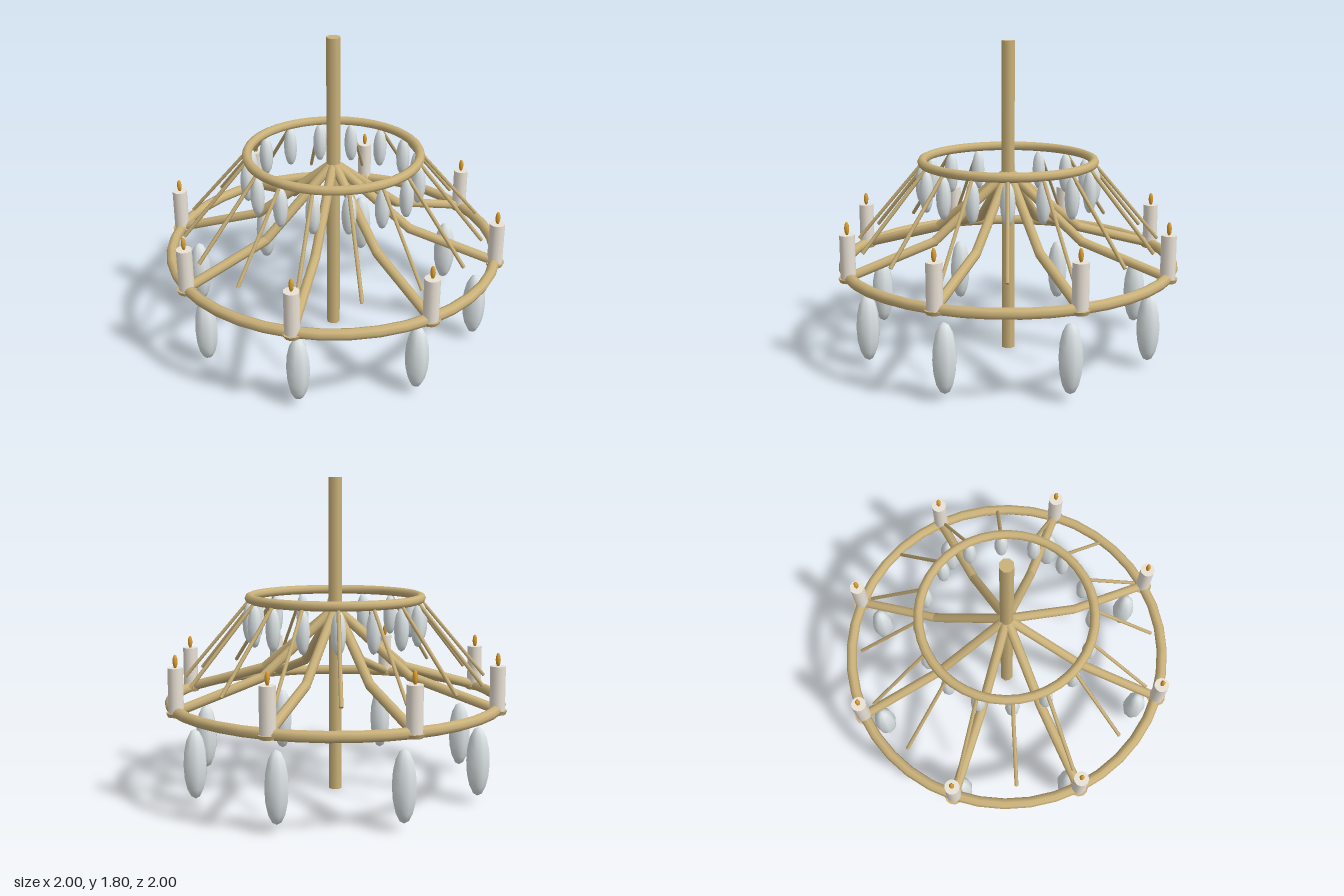
import * as THREE from 'three';

const brass = new THREE.MeshStandardMaterial({ color: 0xcbb27a });
const wax = new THREE.MeshStandardMaterial({ color: 0xeae2d6 });
const glass = new THREE.MeshStandardMaterial({ color: 0xdde4e6 });
const fire = new THREE.MeshStandardMaterial({ color: 0xe0a030 });

function add(parent, name, geometry, material, x = 0, y = 0, z = 0) {
  const mesh = new THREE.Mesh(geometry, material);
  mesh.name = name;
  mesh.position.set(x, y, z);
  parent.add(mesh);
  return mesh;
}

// Straight bar between two [radius, height] points in the x-y plane
function bar(parent, name, a, b, radius, sides) {
  const from = new THREE.Vector3(a[0], a[1], 0);
  const dir = new THREE.Vector3(b[0], b[1], 0).sub(from);
  const mesh = add(parent, name, new THREE.CylinderGeometry(radius, radius, dir.length(), sides), brass);
  mesh.position.copy(from).addScaledVector(dir, 0.5);
  mesh.quaternion.setFromUnitVectors(new THREE.Vector3(0, 1, 0), dir.normalize());
}

// Faceted, elongated pendant
function pendant(parent, name, x, y, radius, halfHeight) {
  add(parent, name, new THREE.SphereGeometry(1, 8, 8), glass, x, y).scale.set(radius, halfHeight, radius);
}

function ring(parent, name, radius, tube, y) {
  add(parent, name, new THREE.TorusGeometry(radius, tube, 8, 40).rotateX(Math.PI / 2), brass, 0, y);
}

export function createModel() {
  const model = new THREE.Group();
  model.name = 'chandelier';

  add(model, 'centralPole', new THREE.CylinderGeometry(0.04, 0.04, 1.8, 8), brass, 0, 0.9);
  ring(model, 'outerRing', 0.945, 0.031, 0.537);
  ring(model, 'upperRing', 0.49, 0.027, 1.123);

  // Eight arms, each with a candle and a large pendant
  for (let i = 0; i < 8; i++) {
    const arm = new THREE.Group();
    arm.name = 'arm';
    arm.rotation.y = (i * Math.PI) / 4;
    model.add(arm);
    const knee = [0.45, 0.69];
    bar(arm, 'upperArm', [0, 1.06], knee, 0.028, 8);
    bar(arm, 'lowerArm', knee, [0.94, 0.54], 0.028, 8);
    add(arm, 'armJoint', new THREE.SphereGeometry(0.028, 8, 6), brass, knee[0], knee[1]);
    add(arm, 'candleDish', new THREE.CylinderGeometry(0.055, 0.046, 0.022, 12), brass, 0.945, 0.525);
    add(arm, 'candle', new THREE.CylinderGeometry(0.043, 0.043, 0.245, 12), wax, 0.945, 0.658);
    add(arm, 'flame', new THREE.SphereGeometry(1, 8, 6), fire, 0.945, 0.815).scale.set(0.014, 0.038, 0.014);
    pendant(arm, 'largePendant', 0.845, 0.238, 0.066, 0.196);
  }

  // Sixteen slim rods and small pendants below the upper ring
  for (let i = 0; i < 16; i++) {
    const spoke = new THREE.Group();
    spoke.name = 'spoke';
    spoke.rotation.y = (i * Math.PI) / 8;
    model.add(spoke);
    bar(spoke, 'slimRod', [0.48, 1.12], [0.864, 0.665], 0.011, 6);
    pendant(spoke, 'smallPendant', 0.49, 0.98, 0.041, 0.12);
  }
  return model;
}
